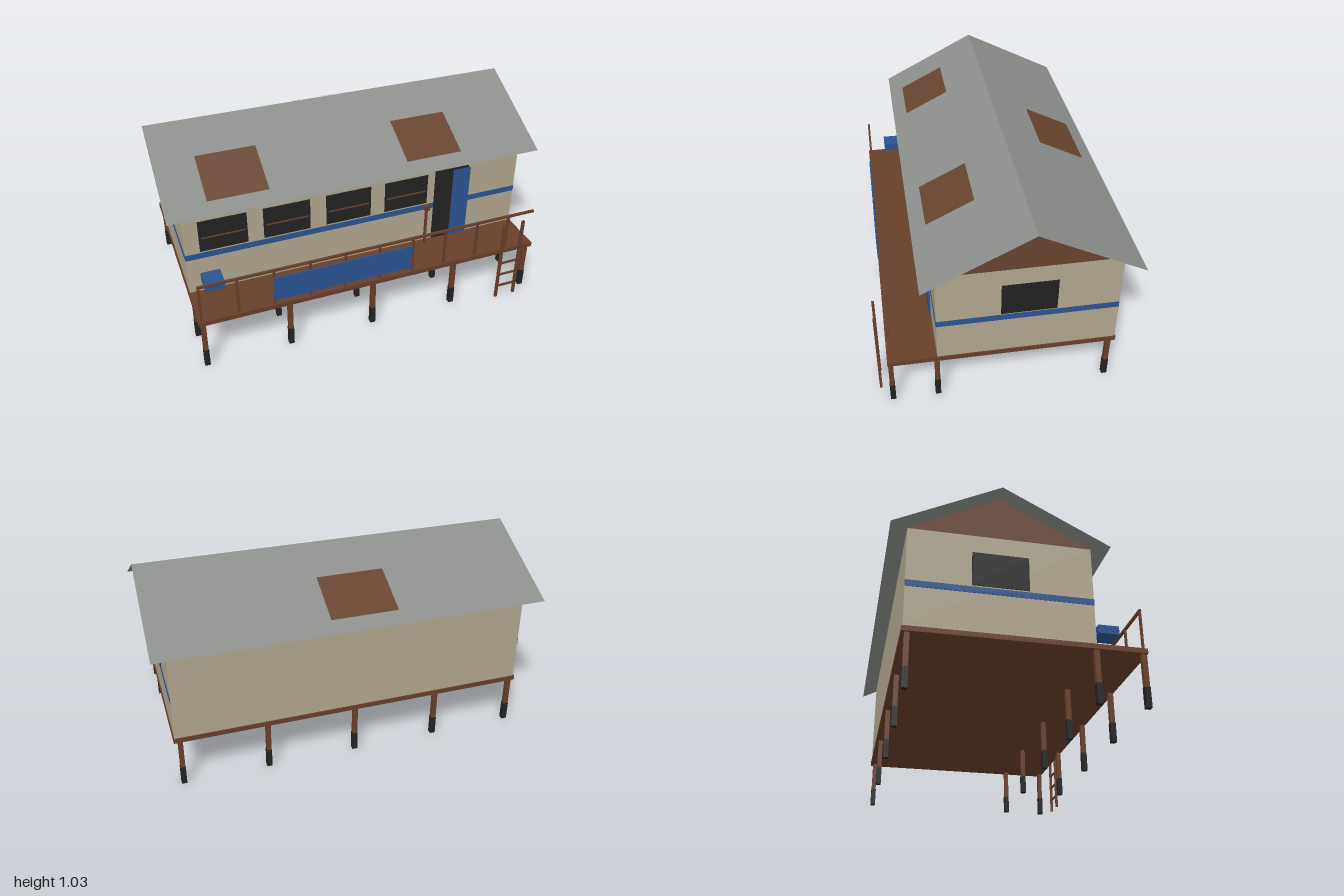
import * as THREE from 'three';

const mat = (name, color, extra = {}) => {
  const m = new THREE.MeshStandardMaterial({ color, ...extra });
  m.name = name;
  return m;
};

export function createModel() {
  const house = new THREE.Group();
  house.name = 'stiltHouse';

  const wall = mat('cream wall', 0xb0a68f);
  const wood = mat('brown wood', 0x673f2b);
  const rust = mat('rust brown', 0x66442f, { side: THREE.DoubleSide });
  const blue = mat('blue paint', 0x2b5391);
  const black = mat('black', 0x222222);
  const tin = mat('grey roofing', 0x8b8e8a, { side: THREE.DoubleSide });

  // Box given by its limits on each axis
  const box = (name, m, x0, x1, y0, y1, z0, z1, parent = house) => {
    const mesh = new THREE.Mesh(new THREE.BoxGeometry(x1 - x0, y1 - y0, z1 - z0), m);
    mesh.position.set((x0 + x1) / 2, (y0 + y1) / 2, (z0 + z1) / 2);
    mesh.name = name;
    parent.add(mesh);
    return mesh;
  };
  const group = (name) => {
    const g = new THREE.Group();
    g.name = name;
    house.add(g);
    return g;
  };

  const W = 0.925, FRONT = 0.335, BACK = -0.54, FLOOR = 0.287, EAVE = 0.795;
  const RIDGE_Z = -0.107, RIDGE_Y = 1.035, RUN = 0.515, DROP = 0.265;

  // Deck and walls
  box('deck', wood, -0.932, 0.93, 0.262, FLOOR, -0.545, 0.575);
  box('walls', wall, -W, W, FLOOR, EAVE, BACK, FRONT);

  // Stilts with black feet, in three rows of five
  const stilts = group('stilts');
  for (const z of [0.56, 0.335, -0.52]) {
    for (const x of [-0.91, -0.467, -0.013, 0.455, 0.897]) {
      box('stilt', wood, x - 0.012, x + 0.012, 0.1, 0.262, z - 0.012, z + 0.012, stilts);
      box('stiltFoot', black, x - 0.0135, x + 0.0135, 0, 0.1, z - 0.0135, z + 0.0135, stilts);
    }
  }

  // Triangular gable filling
  const tri = new THREE.Shape([
    new THREE.Vector2(-FRONT, EAVE),
    new THREE.Vector2(-BACK, EAVE),
    new THREE.Vector2(-RIDGE_Z, 1.022),
  ]);
  for (const s of [-1, 1]) {
    const gable = new THREE.Mesh(new THREE.ShapeGeometry(tri), rust);
    gable.rotation.y = Math.PI / 2;
    gable.position.x = s * W;
    gable.name = 'gable';
    house.add(gable);
  }

  // Sloping sheet on one roof side; a and b are distances from the ridge
  const sheet = (name, m, side, x0, x1, a, b, lift) => {
    const tilt = Math.atan2(DROP, RUN);
    const geo = new THREE.PlaneGeometry(x1 - x0, (b - a) / Math.cos(tilt));
    geo.rotateX(-Math.PI / 2 + tilt);
    if (side < 0) geo.rotateY(Math.PI);
    const mid = (a + b) / 2;
    const mesh = new THREE.Mesh(geo, m);
    mesh.position.set((x0 + x1) / 2, RIDGE_Y - (mid * DROP) / RUN + lift, RIDGE_Z + side * mid);
    mesh.name = name;
    house.add(mesh);
  };
  for (const side of [-1, 1]) sheet('roofSlope', tin, side, -1, 1, 0, RUN, 0);
  sheet('roofPatch', rust, 1, -0.79, -0.48, 0.207, 0.442, 0.004);
  sheet('roofPatch', rust, 1, 0.26, 0.57, 0.207, 0.442, 0.004);
  sheet('roofPatch', rust, -1, -0.22, 0.13, 0.208, 0.443, 0.004);

  // Painted band on the front and both ends
  box('frontBand', blue, -W, W, 0.488, 0.52, FRONT, FRONT + 0.002);
  for (const s of [-1, 1]) {
    const x = s * (W + 0.001);
    box('endBand', blue, x - 0.001, x + 0.001, 0.488, 0.52, BACK, FRONT);
    box('endWindow', black, x - 0.002, x + 0.002, 0.527, 0.703, -0.238, 0.03);
  }

  // Front windows with a crossbar
  for (const x of [-0.85, -0.521, -0.188, 0.138]) {
    box('frontWindow', black, x, x + 0.246, 0.53, 0.705, FRONT, FRONT + 0.004);
    box('windowBar', wood, x + 0.012, x + 0.234, 0.605, 0.612, FRONT, FRONT + 0.008);
  }

  // Doorway with the door half drawn across it
  box('doorway', black, 0.428, 0.625, FLOOR, 0.717, FRONT, FRONT + 0.005);
  box('door', blue, 0.534, 0.635, FLOOR, 0.705, FRONT, FRONT + 0.009);

  // Front railing with its banner
  const railing = group('railing');
  box('handrail', wood, -0.92, 0.92, 0.486, 0.498, 0.554, 0.566, railing);
  for (let i = 0; i < 10; i++) {
    const x = -0.913 + i * 0.1866;
    box('baluster', wood, x - 0.006, x + 0.006, FLOOR, 0.486, 0.555, 0.565, railing);
  }
  box('banner', blue, -0.55, 0.195, 0.318, 0.455, 0.569, 0.577);

  // Lamp post beside the door
  box('lampPost', wood, 0.365, 0.377, FLOOR, 0.507, 0.364, 0.376);
  box('lampHead', wood, 0.358, 0.384, 0.507, 0.537, 0.357, 0.383);

  // Slatted blue crate
  const crate = group('crate');
  for (let i = 0; i < 3; i++) {
    const y = 0.382 + i * 0.0147;
    box('crateSlat', blue, -0.866, -0.767, y, y + 0.0135, 0.37, 0.472, crate);
  }
  box('crateCore', blue, -0.863, -0.77, 0.384, 0.422, 0.373, 0.469, crate);

  // Ladder
  const ladder = group('ladder');
  for (const x of [0.712, 0.822]) {
    box('ladderRail', wood, x - 0.007, x + 0.007, 0, 0.485, 0.61, 0.623, ladder);
  }
  for (const y of [0.073, 0.151, 0.229]) {
    box('rung', wood, 0.712, 0.822, y - 0.005, y + 0.005, 0.612, 0.621, ladder);
  }

  return house;
}
